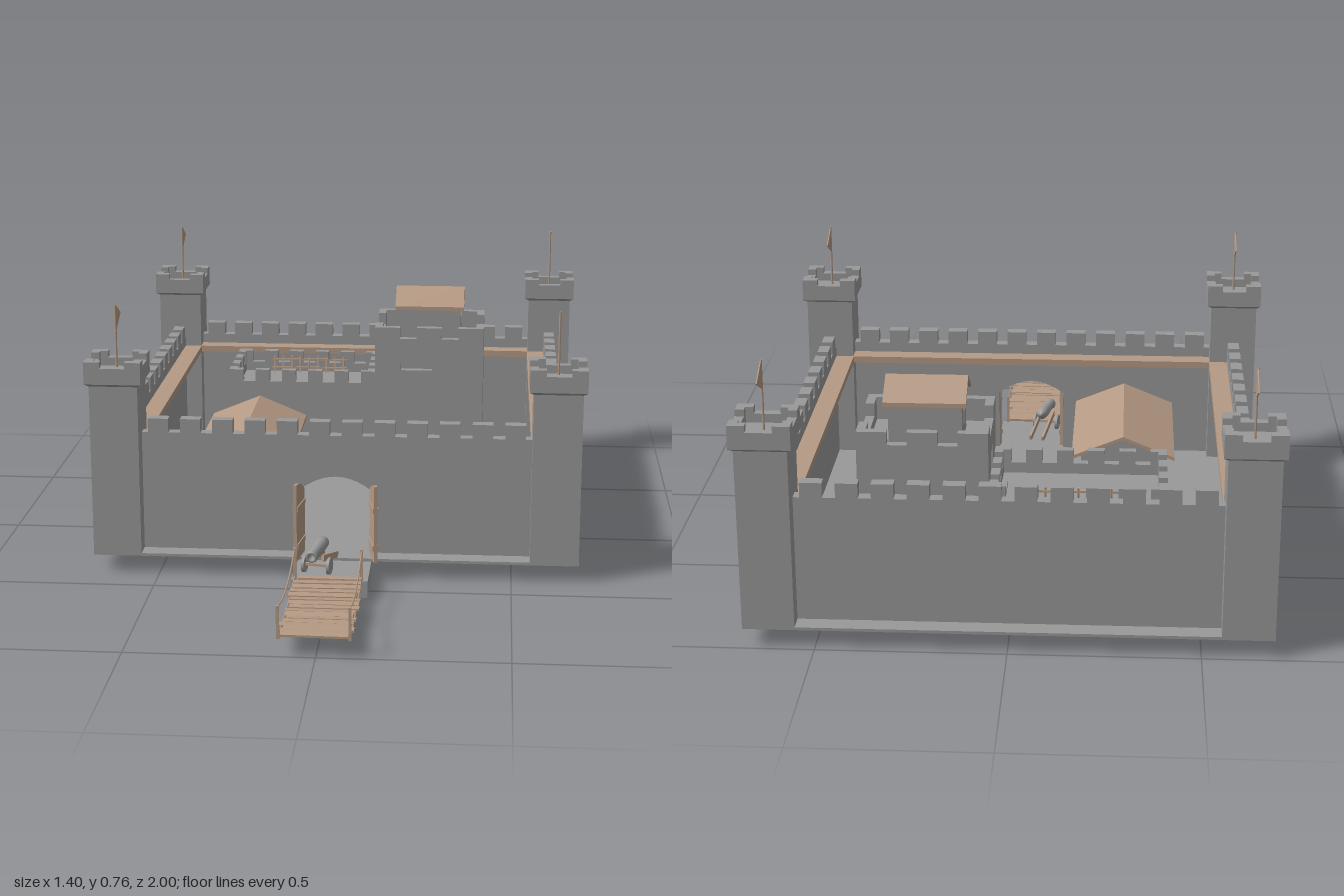
import * as THREE from 'three';

const stone = new THREE.MeshStandardMaterial({ color: 0x999999 });
stone.name = 'stone grey';
const wood = new THREE.MeshStandardMaterial({ color: 0xb59a84 });
wood.name = 'weathered wood';

function add(parent, name, geo, mat, x = 0, y = 0, z = 0) {
  const m = new THREE.Mesh(geo, mat);
  m.name = name;
  m.position.set(x, y, z);
  parent.add(m);
  return m;
}
// Box placed by the centre of its bottom face
const box = (p, name, mat, w, h, d, x, y, z) =>
  add(p, name, new THREE.BoxGeometry(w, h, d), mat, x, y + h / 2, z);

function group(parent, name, x = 0, y = 0, z = 0, ry = 0) {
  const g = new THREE.Group();
  g.name = name;
  g.position.set(x, y, z);
  g.rotation.y = ry;
  parent.add(g);
  return g;
}
const poly = pts => new THREE.Shape(pts.map(p => new THREE.Vector2(...p)));
const extrude = (shape, depth) =>
  new THREE.ExtrudeGeometry(shape, { depth, bevelEnabled: false, curveSegments: 10 });
const rect = (x, y, w, h) => [[x - w / 2, y], [x + w / 2, y], [x + w / 2, y + h], [x - w / 2, y + h]];
function archPoints(half, y0, spring, crown, n = 10) {
  const pts = [[-half, y0], [half, y0]];
  for (let i = 0; i <= n; i++) {
    const u = 1 - 2 * i / n;
    pts.push([half * u, spring + (crown - spring) * (1 - u * u)]);
  }
  return pts;
}

// Crenellated wall: outer face at z = 0 looking to +z
function battlement(g, L, T, y0, top, o) {
  const shape = poly(rect(0, y0, L, top - y0));
  for (const h of o.holes || []) shape.holes.push(poly(h));
  add(g, 'wall', extrude(shape, T), stone, 0, 0, -T);
  const span = (o.span || L) - o.mw;
  for (let i = 0; i < o.n; i++)
    box(g, 'merlon', stone, o.mw, o.mh, T, -span / 2 + span * i / (o.n - 1), top, -T / 2);
}
// Four walls around a centre; sides run front, +x, back, -x
function ring(parent, name, x, z, hx, hz, T, y0, top, sides) {
  const g = group(parent, name, x, 0, z);
  sides.forEach((o, i) => {
    const a = i * Math.PI / 2, reach = i % 2 ? hx : hz, half = i % 2 ? hz : hx;
    const s = group(g, 'side', Math.sin(a) * reach, 0, Math.cos(a) * reach, a);
    battlement(s, half * 2, T, y0, top, o);
  });
}
// Chevron roof, ridge along local z
function gableRoof(parent, name, half, eave, apex, t, len, x, z, ry = 0) {
  const g = group(parent, name, x, 0, z, ry);
  const s = poly([[-half, eave], [0, apex - t], [half, eave], [half, eave + t], [0, apex], [-half, eave + t]]);
  add(g, 'roof', extrude(s, len), wood, 0, 0, -len / 2);
}
function gableBody(parent, name, half, y0, eave, apex, len, x, z, ry = 0) {
  const g = group(parent, name, x, 0, z, ry);
  const s = poly([[-half, y0], [half, y0], [half, eave], [0, apex], [-half, eave]]);
  add(g, 'walls', extrude(s, len), stone, 0, 0, -len / 2);
  return g;
}

function buildTower(parent, x, z) {
  const g = group(parent, 'cornerTower', x, 0, z);
  box(g, 'shaft', stone, 0.137, 0.5, 0.137, 0, 0.05, 0);
  const flare = new THREE.CylinderGeometry(0.08 * Math.SQRT2, 0.0685 * Math.SQRT2, 0.008, 4).toNonIndexed();
  flare.rotateY(Math.PI / 4);
  flare.computeVertexNormals();
  add(g, 'flare', flare, stone, 0, 0.549, 0);
  box(g, 'capFloor', stone, 0.16, 0.022, 0.16, 0, 0.553, 0);
  const o = { n: 2, mw: 0.045, mh: 0.018 };
  ring(g, 'parapet', 0, 0, 0.08, 0.08, 0.024, 0.57, 0.599, [o, o, o, o]);
  add(g, 'flagPole', new THREE.CylinderGeometry(0.003, 0.003, 0.19, 8), wood, 0, 0.67, 0);
  const flag = add(g, 'flag', extrude(poly([[0, 0.688], [0.075, 0.727], [0, 0.765]]), 0.003), wood, -0.0015);
  flag.rotation.y = Math.PI / 2;
}

function buildKeep(parent) {
  const keep = group(parent, 'keep');
  // Low wing with rooftop terrace
  const low = { n: 6, mw: 0.045, mh: 0.038 }, lowSide = { n: 4, mw: 0.045, mh: 0.038 };
  ring(keep, 'lowWing', -0.175, -0.642, 0.235, 0.143, 0.024, 0.05, 0.34, [
    { ...low, holes: [rect(-0.065, 0.135, 0.09, 0.085), rect(0.175, 0.135, 0.09, 0.085)] },
    lowSide, low, lowSide]);
  box(keep, 'terrace', stone, 0.44, 0.02, 0.26, -0.175, 0.29, -0.642);
  // Tall block with doors and a slit window
  const tall = { n: 3, mw: 0.08, mh: 0.036 }, tallSide = { n: 2, mw: 0.075, mh: 0.036 };
  ring(keep, 'tallBlock', 0.233, -0.642, 0.173, 0.143, 0.024, 0.05, 0.488, [
    { ...tall, holes: [rect(-0.04, 0.385, 0.1, 0.035)] },
    { ...tallSide, holes: [rect(0, 0.06, 0.075, 0.12)] }, tall,
    { ...tallSide, holes: [rect(0, 0.31, 0.07, 0.12)] }]);
  box(keep, 'roofFloor', stone, 0.32, 0.02, 0.26, 0.233, 0.44, -0.642);
  box(keep, 'terraceStep', stone, 0.04, 0.012, 0.085, 0.04, 0.308, -0.642);
  box(keep, 'groundStep', stone, 0.02, 0.015, 0.085, 0.415, 0.05, -0.642);
  // Lookout house on top
  const house = gableBody(keep, 'lookout', 0.07, 0.455, 0.578, 0.621, 0.195, 0.232, -0.637, Math.PI / 2);
  for (const s of [-1, 1])
    add(house, 'archedWindow', extrude(poly(archPoints(0.02, 0.5, 0.54, 0.558)), 0.004), stone, 0, 0, s * 0.0985 - 0.002);
  gableRoof(keep, 'lookoutRoof', 0.084, 0.57, 0.633, 0.012, 0.22, 0.232, -0.637, Math.PI / 2);
  // Weapon rack on the terrace
  const rack = group(keep, 'rack', -0.175, 0.31, -0.75);
  for (const y of [0.012, 0.04]) box(rack, 'rail', wood, 0.25, 0.006, 0.006, 0, y, 0);
  for (let i = 0; i < 9; i++) {
    const bar = box(rack, 'bar', wood, 0.005, 0.055, 0.005, -0.115 + i * 0.0288, 0, 0.004);
    bar.rotation.x = -0.2;
  }
}

function buildGate(parent) {
  const gate = group(parent, 'gate');
  // Landing with a rounded underside
  const s = poly([[0.555, 0.048], [0.38, 0.048], [0.385, 0.022], [0.4, 0.008], [0.43, 0], [0.555, 0]]);
  const landing = add(gate, 'landing', extrude(s, 0.212), stone, 0.105, 0, 0);
  landing.rotation.y = -Math.PI / 2;
  // Half-arch door leaves swung outward
  for (const side of [-1, 1]) {
    const leaf = group(gate, 'door', 0.003 + side * 0.097, 0, 0.33, side > 0 ? -1.37 : -Math.PI + 1.43);
    const pts = [[0, 0.055], [0.098, 0.055], [0.098, 0.28], [0.07, 0.277], [0.035, 0.265], [0, 0.243]];
    add(leaf, 'leaf', extrude(poly(pts), 0.01), wood, 0, 0, -0.005);
    for (const y of [0.09, 0.2]) box(leaf, 'brace', wood, 0.09, 0.015, 0.016, 0.048, y, 0);
  }
}

function buildBridge(parent) {
  const bridge = group(parent, 'ropeBridge');
  const sag = (t, ends, drop) => ends - drop * 4 * t * (1 - t);
  let seed = 7;
  const rnd = () => (seed = (seed * 16807) % 2147483647) / 2147483647 - 0.5;
  for (let i = 0; i < 16; i++) {
    const t = (i + 0.5) / 16;
    const p = box(bridge, 'plank', wood, 0.182 + rnd() * 0.016, 0.006, 0.0255, -0.004 + rnd() * 0.014,
      sag(t, 0.054, 0.012), 0.545 + 0.452 * t);
    p.rotation.set(rnd() * 0.3, rnd() * 0.07, 0);
  }
  for (const x of [-0.097, 0.088]) {
    for (const z of [0.548, 0.996]) box(bridge, 'post', wood, 0.008, 0.09, 0.008, x, 0.048, z);
    for (const [name, ends, drop] of [['handRope', 0.134, 0.03], ['deckRope', 0.056, 0.012]]) {
      const pts = [0, 0.25, 0.5, 0.75, 1].map(t => new THREE.Vector3(x, sag(t, ends, drop), 0.548 + 0.448 * t));
      add(bridge, name, new THREE.TubeGeometry(new THREE.CatmullRomCurve3(pts), 20, 0.0025, 6), wood);
    }
  }
}

function buildCannon(parent) {
  const c = group(parent, 'cannon', -0.038, 0.048, 0.49, -0.2);
  const profile = [[0, -0.068], [0.006, -0.066], [0.006, -0.058], [0.017, -0.055], [0.018, -0.03],
    [0.014, 0.05], [0.018, 0.058], [0.016, 0.066], [0.009, 0.066], [0.008, 0.03], [0, 0.03]];
  const barrel = add(c, 'barrel', new THREE.LatheGeometry(profile.map(p => new THREE.Vector2(...p)), 16), stone, 0, 0.069, 0);
  barrel.rotation.x = Math.PI / 2 + 0.05;
  for (const s of [-1, 1]) {
    // Carriage cheeks sloping back into trails
    const cheek = box(c, 'carriageCheek', wood, 0.007, 0.018, 0.15, s * 0.02, 0.023, -0.052);
    cheek.rotation.x = -0.25;
    const wheel = add(c, 'wheel', new THREE.CylinderGeometry(0.024, 0.024, 0.008, 16), stone, s * 0.036, 0.025, 0.008);
    wheel.rotation.z = Math.PI / 2;
  }
  box(c, 'axle', wood, 0.07, 0.008, 0.008, 0, 0.021, 0.008);
}

export function createModel() {
  const model = new THREE.Group();
  model.name = 'castle';
  const cz = -0.3;
  box(model, 'base', stone, 1.378, 0.008, 1.375, 0, 0.048, -0.2985);

  // Curtain walls with gate opening at the front
  const m = { n: 12, mw: 0.058, mh: 0.04, span: 1.068 };
  ring(model, 'curtainWall', 0, cz, 0.637, 0.635, 0.033, 0.05, 0.4,
    [{ ...m, holes: [archPoints(0.1, 0.056, 0.242, 0.28)] }, m, m, m]);

  // Wooden wall walk
  for (let i = 0; i < 4; i++) {
    const g = group(model, 'wallWalk', 0, 0, cz, i * Math.PI / 2);
    box(g, 'walkway', wood, 1.2, 0.02, 0.054, 0, 0.35, 0.577);
  }
  for (const x of [-0.62, 0.62]) for (const z of [0.322, -0.919]) buildTower(model, x, z);

  buildKeep(model);
  buildGate(model);
  buildBridge(model);
  buildCannon(model);

  // Barn in the courtyard
  gableBody(model, 'barn', 0.12, 0.05, 0.28, 0.33, 0.4, -0.29, -0.094);
  gableRoof(model, 'barnRoof', 0.146, 0.27, 0.34, 0.01, 0.448, -0.29, -0.094);
  box(model, 'barnDoor', stone, 0.006, 0.13, 0.09, -0.168, 0.056, -0.2);

  // Small open-topped ramp with wedge-shaped sides in the courtyard
  const ramp = group(model, 'ramp', 0.068, 0, -0.42, -0.52);
  for (const z of [-0.02, 0.02])
    add(ramp, 'side', extrude(poly([[-0.068, 0.056], [0.068, 0.056], [0.068, 0.13]]), 0.005), wood, 0, 0, z - 0.0025);
  for (const x of [-0.05, 0, 0.06]) box(ramp, 'rung', wood, 0.006, 0.008, 0.04, x, 0.085 + x * 0.55, 0);
  return model;
}
